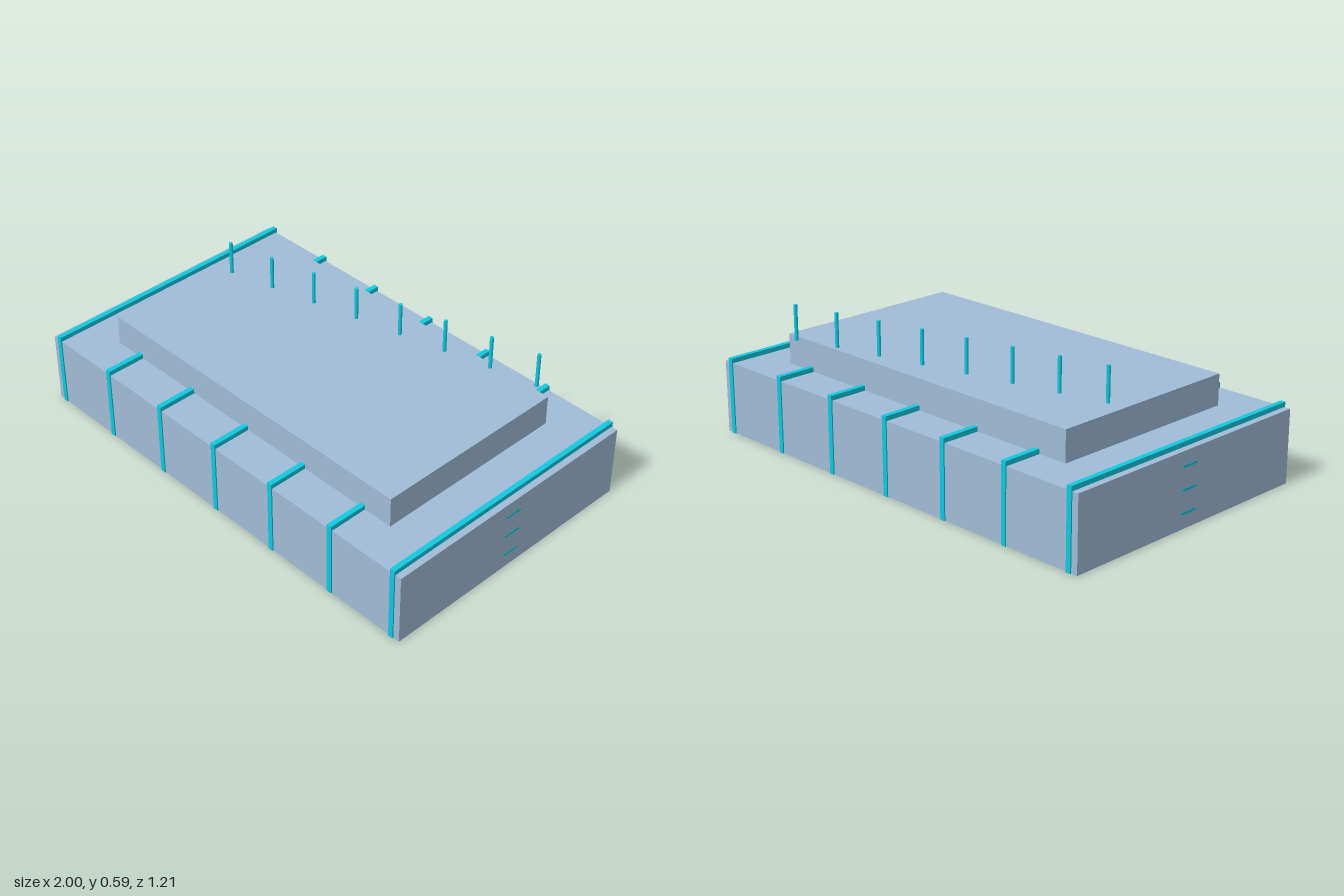
import * as THREE from 'three';

export function createModel() {
  const model = new THREE.Group();
  const blue = new THREE.MeshStandardMaterial({ color: 0x9fbcd6 });
  const cyan = new THREE.MeshStandardMaterial({ color: 0x12c8de });

  const add = (name, geometry, material, x, y, z) => {
    const mesh = new THREE.Mesh(geometry, material);
    mesh.name = name;
    mesh.position.set(x, y, z);
    model.add(mesh);
    return mesh;
  };

  // Main block and the raised deck on it
  add('mainBlock', new THREE.BoxGeometry(1.998, 0.31, 1.196), blue, 0, 0.155, 0);
  add('upperDeck', new THREE.BoxGeometry(1.56, 0.13, 0.86), blue, 0, 0.375, 0);

  // Bands wrapping the block from front to back
  const band = new THREE.BoxGeometry(0.022, 0.33, 1.206);
  for (let i = -3; i <= 3; i++) add('band', band, cyan, i * 0.32, 0.165, 0);

  // Thin slats set into both ends
  const slat = new THREE.BoxGeometry(0.012, 0.01, 0.08);
  for (const side of [-1, 1]) {
    for (const y of [0.062, 0.155, 0.248]) add('endSlat', slat, cyan, side * 0.994, y, 0);
  }

  // Diagonal row of upright pins
  const pin = new THREE.CylinderGeometry(0.008, 0.008, 0.152, 12);
  for (let i = 0; i < 8; i++) {
    add('pin', pin, cyan, -0.7 + i * 0.2, 0.511, -0.12 - i * 0.048);
  }

  return model;
}
